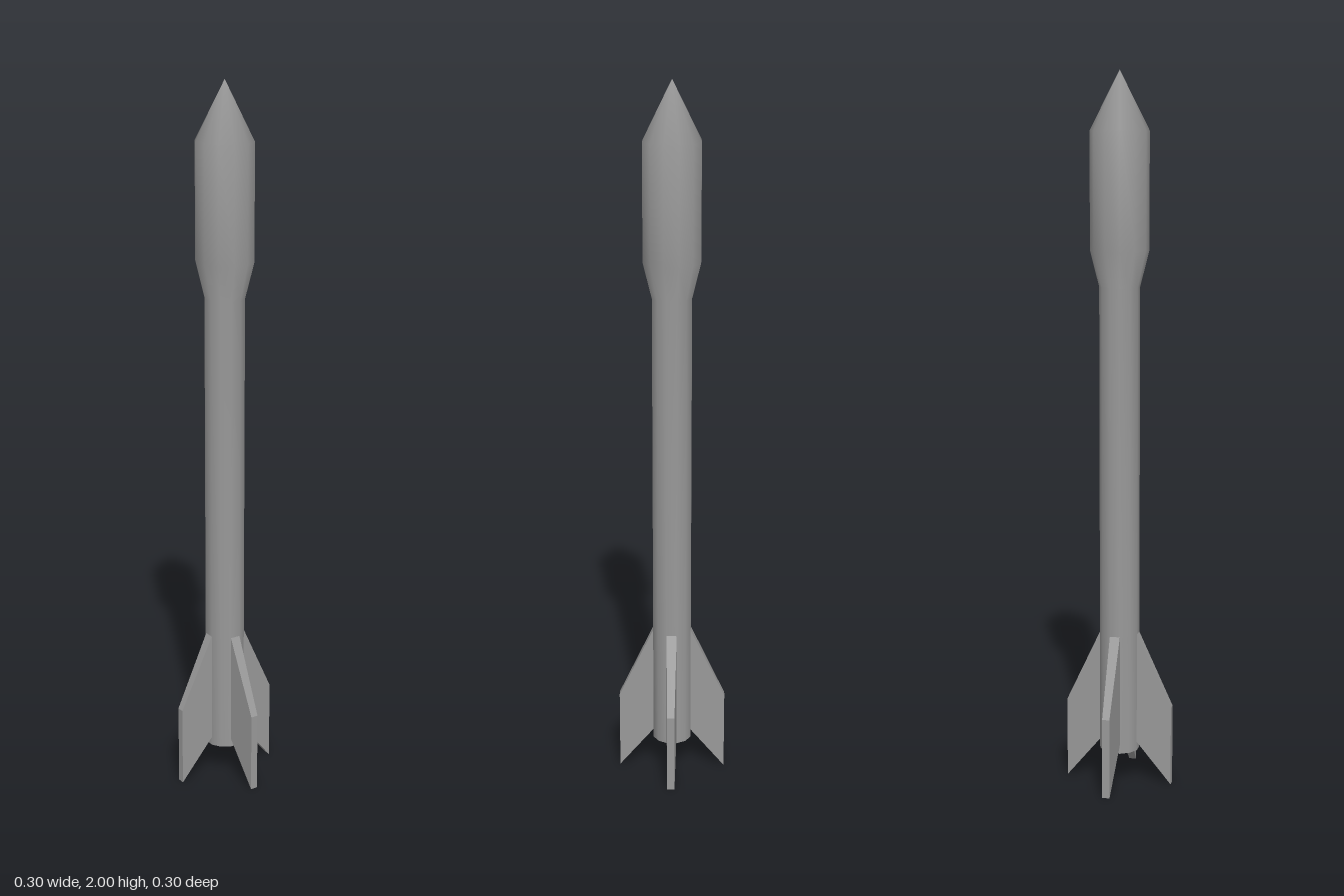
import * as THREE from 'three';
import { mergeVertices } from 'three/addons/utils/BufferGeometryUtils.js';

const SIDES = 12;
const BODY_R = 0.056, HEAD_R = 0.081, BASE_Y = 0.095;
const COLOR = 0x999999;
const bodyMaterial = new THREE.MeshStandardMaterial({ color: COLOR, side: THREE.DoubleSide });
const finMaterial = new THREE.MeshStandardMaterial({ color: COLOR, flatShading: true });

function addMesh(parent, name, geometry, material) {
  const mesh = new THREE.Mesh(geometry, material);
  mesh.name = name;
  parent.add(mesh);
  return mesh;
}

// Turned hull with an open tail; shared vertices keep it smooth over the tip
function bodyGeometry() {
  const profile = [
    [BODY_R, BASE_Y], [BODY_R, 0.44], [BODY_R, 1.42],
    [HEAD_R, 1.52], [HEAD_R, 1.84], [0, 2],
  ].map(([r, y]) => new THREE.Vector2(r, y));
  const lathe = new THREE.LatheGeometry(profile, SIDES);
  lathe.deleteAttribute('normal');
  lathe.deleteAttribute('uv');
  const geometry = mergeVertices(lathe);
  geometry.computeVertexNormals();
  return geometry;
}

// Tapered, swept fin: a box whose corners move to the root and tip outlines
function finGeometry() {
  const root = { r: BODY_R * Math.cos(Math.PI / SIDES), top: 0.44, bottom: 0.12,
    half: BODY_R * Math.sin(Math.PI / SIDES) };
  const tip = { r: 0.153, top: 0.23, bottom: 0, half: 0.0105 };
  const geometry = new THREE.BoxGeometry(1, 1, 1);
  const p = geometry.attributes.position;
  for (let i = 0; i < p.count; i++) {
    const end = p.getX(i) < 0 ? root : tip;
    p.setXYZ(i, end.r, p.getY(i) > 0 ? end.top : end.bottom, Math.sign(p.getZ(i)) * end.half);
  }
  geometry.computeVertexNormals();
  return geometry;
}

export function createModel() {
  const rocket = new THREE.Group();
  rocket.name = 'rocket';

  // Slim body, flared shoulder, wide head and pointed nose
  addMesh(rocket, 'body', bodyGeometry(), bodyMaterial);

  // Four fins, each growing from one facet of the body
  const fin = finGeometry();
  for (let i = 0; i < 4; i++) {
    addMesh(rocket, `fin${i + 1}`, fin, finMaterial).rotation.y = -Math.PI / SIDES - (i * Math.PI) / 2;
  }
  return rocket;
}
